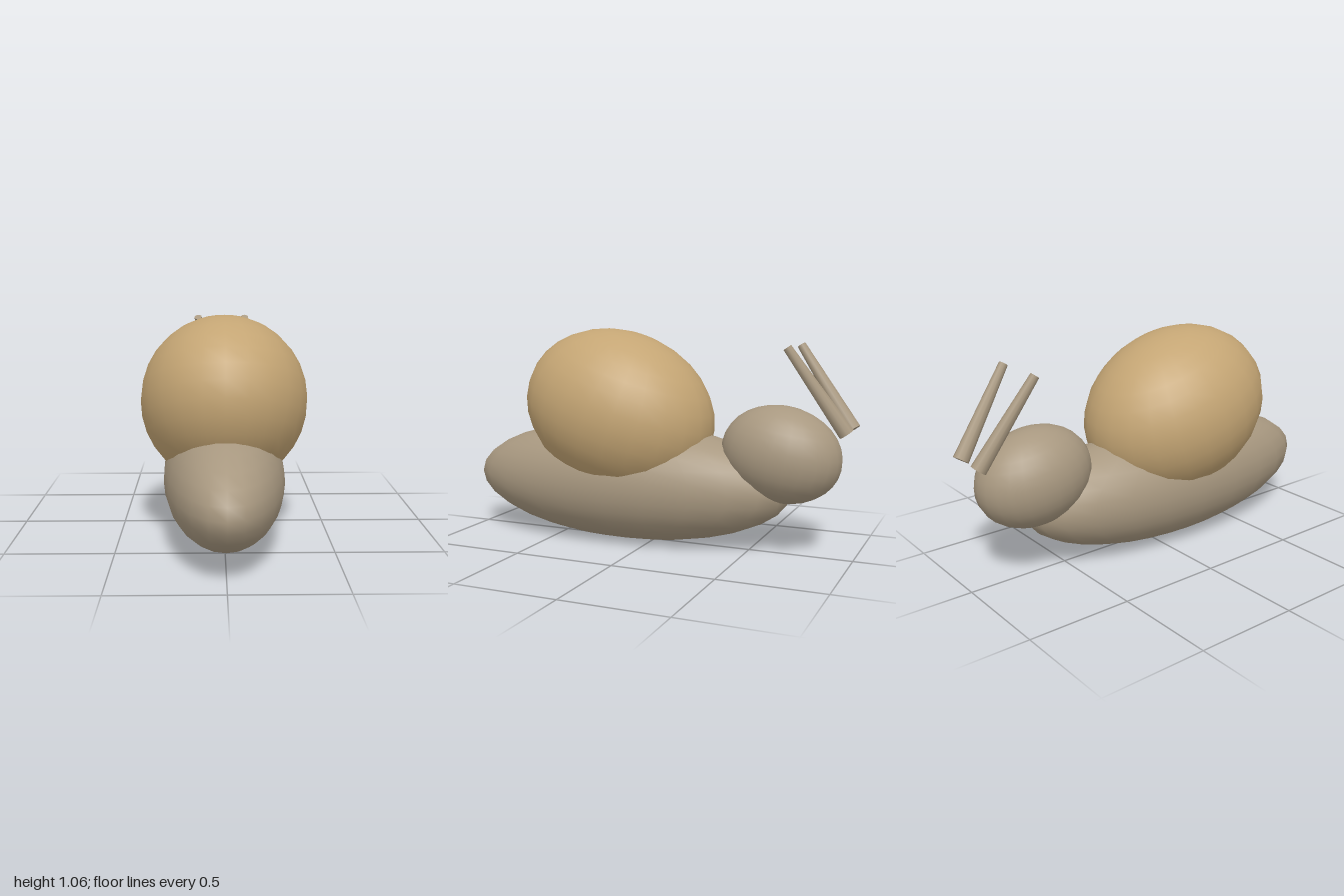
import * as THREE from 'three';

export function createModel() {
  const snail = new THREE.Group();
  snail.name = 'snail';

  const skin = new THREE.MeshStandardMaterial({ color: 0xa89880 });
  skin.name = 'skin';
  const shellTan = new THREE.MeshStandardMaterial({ color: 0xc4a574 });
  shellTan.name = 'shellTan';

  // Smooth ellipsoid, pitched about x
  function ellipsoid(name, material, radii, y, z, pitch = 0) {
    const mesh = new THREE.Mesh(new THREE.SphereGeometry(1, 24, 16), material);
    mesh.name = name;
    mesh.scale.set(...radii);
    mesh.position.set(0, y, z);
    mesh.rotation.x = pitch;
    snail.add(mesh);
  }

  ellipsoid('body', skin, [0.29, 0.295, 0.85], 0.3, 0.15);
  ellipsoid('shell', shellTan, [0.395, 0.397, 0.5], 0.655, 0.19, -0.34);
  ellipsoid('head', skin, [0.21, 0.23, 0.29], 0.485, -0.65, -0.2);

  // Tapered eye stalks, thick end at the bottom, leaning back over the head
  const up = new THREE.Vector3(0, 1, 0);
  for (const side of [-1, 1]) {
    const base = new THREE.Vector3(side * 0.08, 0.61, -0.967);
    const tip = new THREE.Vector3(side * 0.133, 0.993, -0.702);
    const axis = tip.clone().sub(base);
    const stalk = new THREE.Mesh(new THREE.CylinderGeometry(0.021, 0.037, axis.length(), 10), skin);
    stalk.name = side > 0 ? 'leftEyeStalk' : 'rightEyeStalk';
    stalk.position.copy(base).add(tip).multiplyScalar(0.5);
    stalk.quaternion.setFromUnitVectors(up, axis.normalize());
    snail.add(stalk);
  }

  return snail;
}
